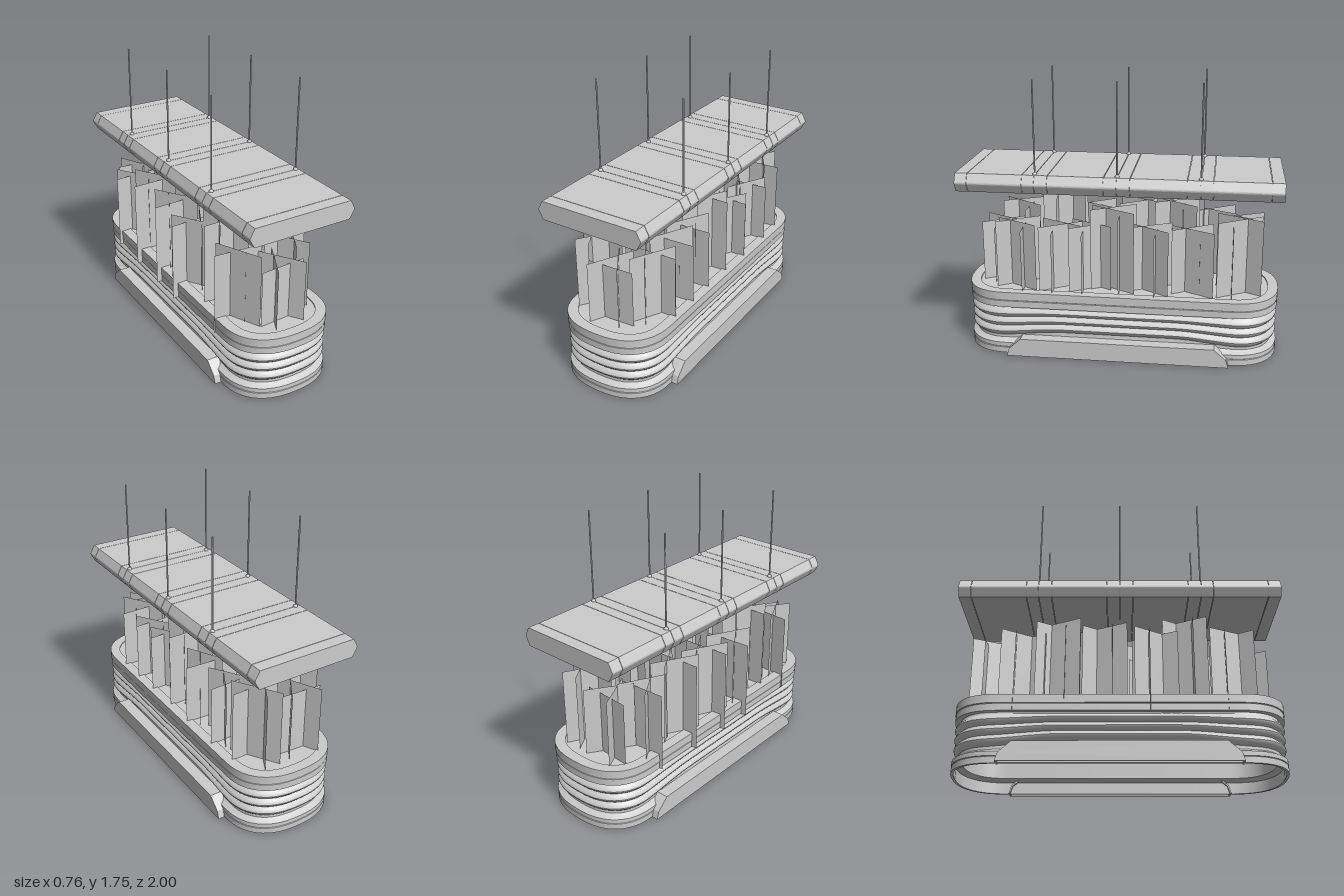
import * as THREE from 'three';
import { toCreasedNormals } from 'three/addons/utils/BufferGeometryUtils.js';

const grey = new THREE.MeshStandardMaterial({ color: 0xcccccc });
const greyThin = new THREE.MeshStandardMaterial({ color: 0xcccccc, side: THREE.DoubleSide });

function add(parent, name, geometry, x = 0, y = 0, z = 0, material = grey) {
  const mesh = new THREE.Mesh(geometry, material);
  mesh.name = name;
  mesh.position.set(x, y, z);
  parent.add(mesh);
  return mesh;
}

// Tub plan: straight sides and full, gently curved ends, with outward normals
function planLoop(hw, hl, cap) {
  const pts = [], power = 2 / 2.4;
  for (const end of [1, -1]) {
    for (let i = 0; i <= 28; i++) {
      const a = i / 28 * Math.PI, s = Math.abs(Math.sin(a)), c = Math.abs(Math.cos(a));
      const sx = end * Math.sign(14 - i);
      const n = new THREE.Vector2(sx * c ** (2 - power) / hw, end * s ** (2 - power) / cap).normalize();
      pts.push({ x: sx * hw * c ** power, z: end * (hl - cap + cap * s ** power), nx: n.x, nz: n.y });
    }
    // subdivide the long sides so the ribs can arch
    for (let i = 1; i < 24; i++) {
      pts.push({ x: -end * hw, z: end * (hl - cap) * (1 - i / 12), nx: -end, nz: 0 });
    }
  }
  return pts;
}

// Closed cross-section [offset, height, middle lift] swept round the plan
function sweep(plan, profile) {
  const pos = [], index = [], m = profile.length, n = plan.length;
  for (const p of plan) {
    const s = 1 - THREE.MathUtils.smoothstep(Math.abs(p.z), 0.35, 0.8);
    for (const [d, y, lift] of profile) pos.push(p.x + d * p.nx, y + lift * s, p.z + d * p.nz);
  }
  for (let i = 0; i < n; i++) for (let j = 0; j < m; j++) {
    const i2 = (i + 1) % n, j2 = (j + 1) % m;
    const a = i * m + j, b = i * m + j2, c = i2 * m + j2, e = i2 * m + j;
    index.push(a, b, e, b, c, e);
  }
  const g = new THREE.BufferGeometry();
  g.setAttribute('position', new THREE.Float32BufferAttribute(pos, 3));
  g.setIndex(index);
  return toCreasedNormals(g, 0.6);
}

function polygon(points) {
  return new THREE.Shape(points.map(([u, v]) => new THREE.Vector2(u, v)));
}

function createPlanter() {
  const planter = new THREE.Group();
  planter.name = 'planter';
  const plan = planLoop(0.335, 0.998, 0.3);
  // foot, three bulging ribs, double rim, then the inner wall back down
  const profile = [[0.002, 0, 0], [0.002, 0.037, 0], [-0.002, 0.04, 0], [0.002, 0.043, 0],
    [0.002, 0.07, 0], [-0.015, 0.078, 0], [-0.035, 0.09, 0.02], [-0.035, 0.108, 0.035]];
  for (let rib = 0; rib < 3; rib++) {
    for (let k = 0; k <= 6; k++) {
      const y = 0.113 + (rib + k / 6) * 0.061;
      profile.push([-0.03 + 0.025 * Math.sin(Math.PI * k / 6), y, 0.035 * (1 - (y - 0.113) / 0.26)]);
    }
  }
  profile.push([-0.035, 0.305, 0.003], [-0.035, 0.315, 0], [-0.002, 0.315, 0], [-0.002, 0.357, 0],
    [-0.006, 0.36, 0], [0, 0.363, 0], [0, 0.415, 0], [-0.065, 0.415, 0], [-0.065, 0.34, 0],
    [-0.085, 0.335, 0], [-0.085, 0.31, 0], [-0.05, 0.3, 0], [-0.05, 0.09, 0], [-0.015, 0.07, 0], [-0.015, 0, 0]);
  add(planter, 'ribbedTub', sweep(plan, profile), 0, 0, 0, greyThin);

  // soil deck closing the tub just under the rim
  const outline = polygon(plan.map((p) => [p.x - 0.063 * p.nx, p.z - 0.063 * p.nz]));
  add(planter, 'soil', new THREE.ShapeGeometry(outline).rotateX(-Math.PI / 2), 0, 0.408, 0, greyThin);

  // side skirts: a thin face plate with a folded-over top, open underneath
  const arch = [[0.7, 0], [0.685, 0.05], [0.61, 0.118], [-0.61, 0.118], [-0.685, 0.05], [-0.7, 0]];
  const inner = arch.map(([u, v]) => [u * 0.987, v * 0.92]).reverse();
  for (const side of [1, -1]) {
    const skirt = new THREE.Group();
    skirt.name = 'sideSkirt';
    skirt.rotation.y = side * Math.PI / 2;
    const options = { depth: 0.01, bevelEnabled: false };
    add(skirt, 'skirtFace', new THREE.ExtrudeGeometry(polygon(arch), options), 0, 0, 0.368);
    add(skirt, 'skirtFold', new THREE.ExtrudeGeometry(polygon([...arch, ...inner]), { ...options, depth: 0.065 }), 0, 0, 0.303);
    planter.add(skirt);
  }
  return planter;
}

// Plant clump: three upright cards crossing at sixty degrees
function createPlant(x, z, top, width, turn) {
  const plant = new THREE.Group();
  plant.name = 'plant';
  plant.position.set(x, 0, z);
  plant.rotation.y = turn;
  const bottom = 0.315;
  for (let k = 0; k < 3; k++) {
    const a = k * Math.PI * 2 / 3, h = top - (k ? 0 : 0.03) - bottom;
    const card = add(plant, 'leafCard', new THREE.PlaneGeometry(width, h),
      Math.sin(a) * 0.03, bottom + h / 2, Math.cos(a) * 0.03, greyThin);
    card.rotation.y = a;
  }
  return plant;
}

function createPlants() {
  const plants = new THREE.Group();
  plants.name = 'plants';
  // x, z, top height, card width, turn
  const clumps = [
    [0.0, 0.79, 0.80, 0.30, 0.06], [-0.19, 0.67, 0.87, 0.31, 3.07],
    [0.16, 0.64, 0.84, 0.30, 3.18], [-0.145, 0.41, 0.965, 0.31, 0.03],
    [0.16, 0.39, 0.83, 0.30, 0.05], [-0.215, 0.20, 0.86, 0.31, 3.2],
    [0.155, 0.20, 0.83, 0.30, 0.04], [0.14, 0.03, 0.935, 0.32, 3.16],
    [-0.215, -0.08, 0.89, 0.31, 0.05], [0.16, -0.20, 0.83, 0.30, 3.1],
    [0.0, -0.36, 0.955, 0.31, 3.1], [-0.215, -0.36, 0.92, 0.31, 0.04],
    [0.16, -0.47, 0.83, 0.30, 3.18], [0.13, -0.73, 0.895, 0.32, 0.03],
    [-0.2, -0.60, 0.85, 0.31, 3.2], [-0.1, -0.78, 0.84, 0.30, 3.08],
  ];
  clumps.forEach((c) => plants.add(createPlant(...c)));
  return plants;
}

// Six-sided bar along z with softened side edges
function canopyBar(z0, z1, inset = 0) {
  const s = new THREE.Shape();
  const w = 0.35 - inset, t = 0.318 - inset, h = 0.058 - inset;
  s.moveTo(-t, -h);
  s.lineTo(t, -h);
  s.lineTo(w - 0.005, -0.009);
  s.quadraticCurveTo(w, 0, w - 0.005, 0.009);
  s.lineTo(t, h);
  s.lineTo(-t, h);
  s.lineTo(-w + 0.005, 0.009);
  s.quadraticCurveTo(-w, 0, -w + 0.005, -0.009);
  s.closePath();
  const g = new THREE.ExtrudeGeometry(s, { depth: z1 - z0, bevelEnabled: false, curveSegments: 4 });
  return g.translate(0, 0, z0);
}

function createCanopy() {
  const canopy = new THREE.Group();
  canopy.name = 'hangingLight';
  const y = 1.12, gap = 0.0015;
  add(canopy, 'core', canopyBar(-0.98, 0.98, 0.005), 0, y, 0);
  // panels separated by narrow seams
  const seams = [-0.993, -0.915, -0.575, -0.5, -0.42, -0.08, 0, 0.08, 0.42, 0.5, 0.575, 0.915, 0.993];
  for (let i = 0; i + 1 < seams.length; i++) {
    add(canopy, 'panel', canopyBar(seams[i] + gap, seams[i + 1] - gap), 0, y, 0);
  }
  // suspension rods
  for (const x of [-0.287, 0.298]) for (const z of [-0.5, 0, 0.5]) {
    add(canopy, 'rod', new THREE.CylinderGeometry(0.005, 0.005, 0.57, 8), x, 1.465, z);
    add(canopy, 'rodMount', new THREE.SphereGeometry(0.014, 12, 8), x, 1.18, z);
  }
  return canopy;
}

export function createModel() {
  const model = new THREE.Group();
  model.name = 'planterWithHangingLight';
  model.add(createPlanter(), createPlants(), createCanopy());
  return model;
}
